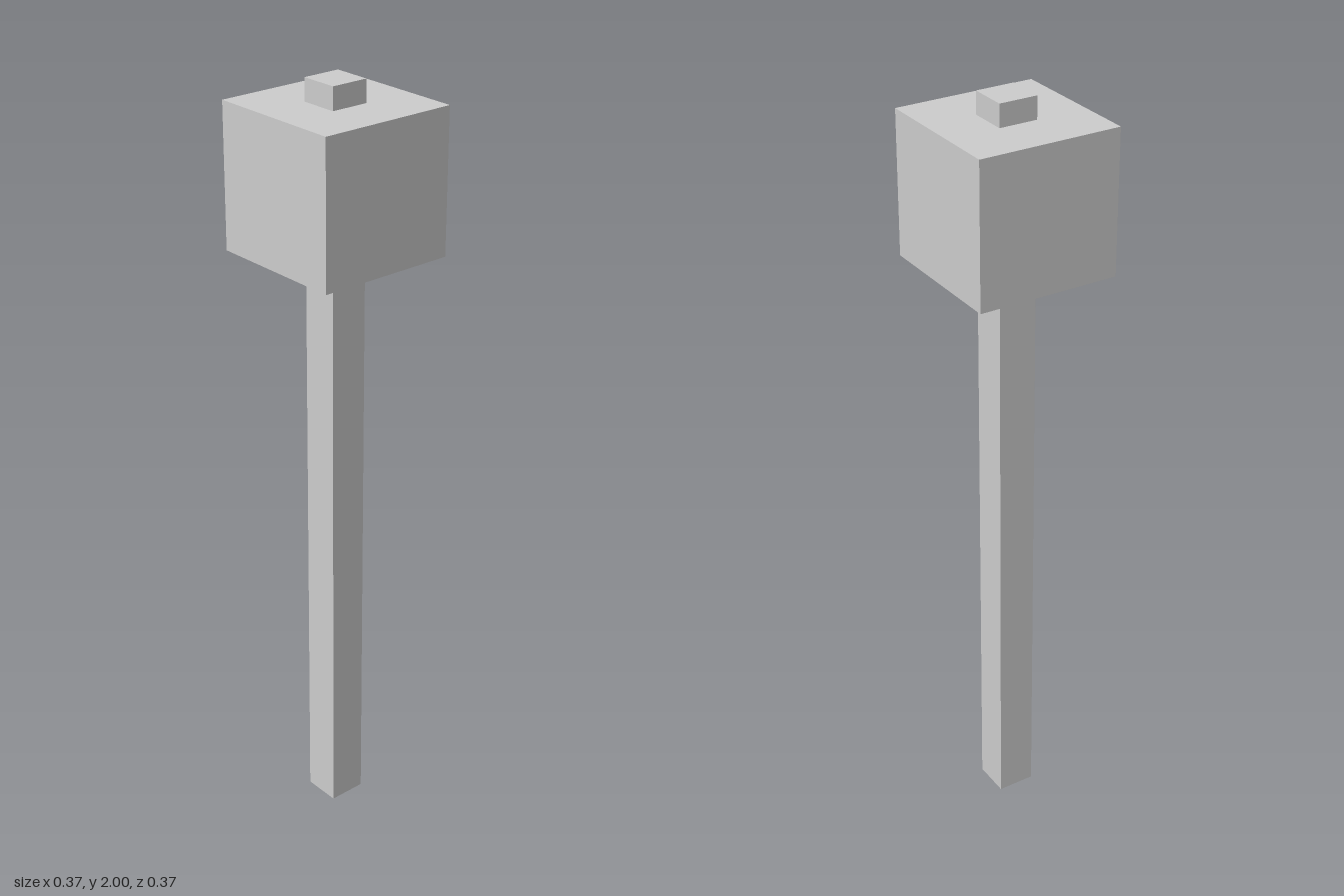
import * as THREE from 'three';

const material = new THREE.MeshStandardMaterial({ color: 0xcccccc, flatShading: true });

// Square block of a given width, spanning bottom to top
function block(name, width, bottom, top) {
  const mesh = new THREE.Mesh(new THREE.BoxGeometry(width, top - bottom, width), material);
  mesh.position.y = (bottom + top) / 2;
  mesh.name = name;
  return mesh;
}

export function createModel() {
  const model = new THREE.Group();
  model.name = 'mallet';
  // Handle runs right through the head and pokes out on top
  model.add(block('handle', 0.1, 0, 2));
  model.add(block('head', 0.37, 1.575, 1.943));
  return model;
}
